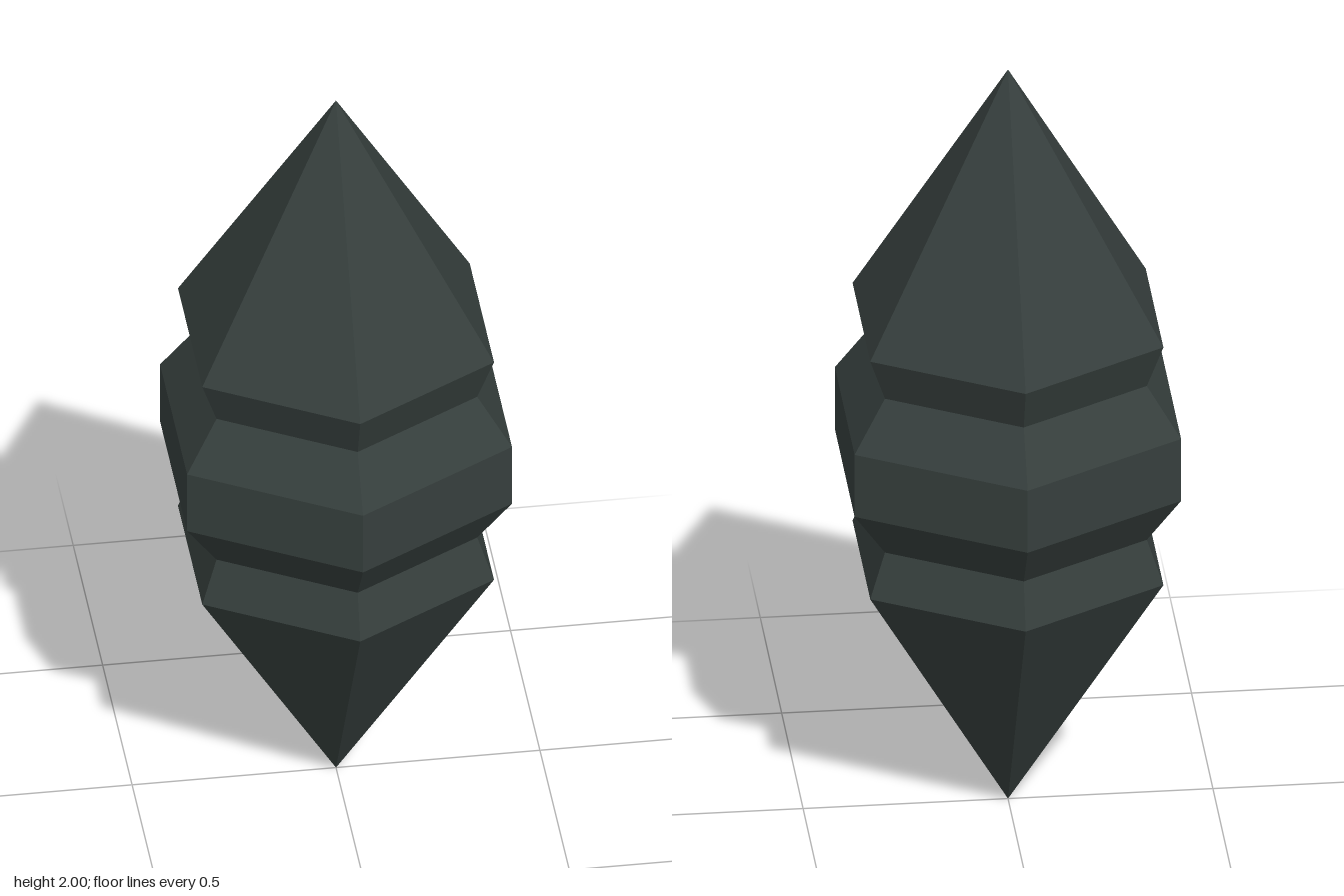
import * as THREE from 'three';

const darkSlate = new THREE.MeshStandardMaterial({ color: 0x363f3d, flatShading: true });
darkSlate.name = 'darkSlate';

// Six-sided faceted ring from a [radius, y] profile listed bottom to top; corners point along +z and -z
function hexPart(name, profile) {
  const points = profile.map(([r, y]) => new THREE.Vector2(r, y));
  const geometry = new THREE.LatheGeometry(points, 6).toNonIndexed();
  geometry.computeVertexNormals();
  const mesh = new THREE.Mesh(geometry, darkSlate);
  mesh.name = name;
  return mesh;
}

export function createModel() {
  const group = new THREE.Group();
  group.name = 'crystal';

  const spikeRadius = 0.413, neckRadius = 0.369, beltRadius = 0.46;
  const spikeOffset = 0.326, neckOffset = 0.211, beltOffset = 0.085;

  // Pointed ends with a short inward bevel down to each neck
  group.add(hexPart('upperSpike', [[neckRadius, 1 + neckOffset], [spikeRadius, 1 + spikeOffset], [0, 2]]));
  group.add(hexPart('lowerSpike', [[0, 0], [spikeRadius, 1 - spikeOffset], [neckRadius, 1 - neckOffset]]));

  // Wide middle belt with bevelled edges
  group.add(hexPart('belt', [
    [neckRadius, 1 - neckOffset], [beltRadius, 1 - beltOffset],
    [beltRadius, 1 + beltOffset], [neckRadius, 1 + neckOffset],
  ]));

  return group;
}
